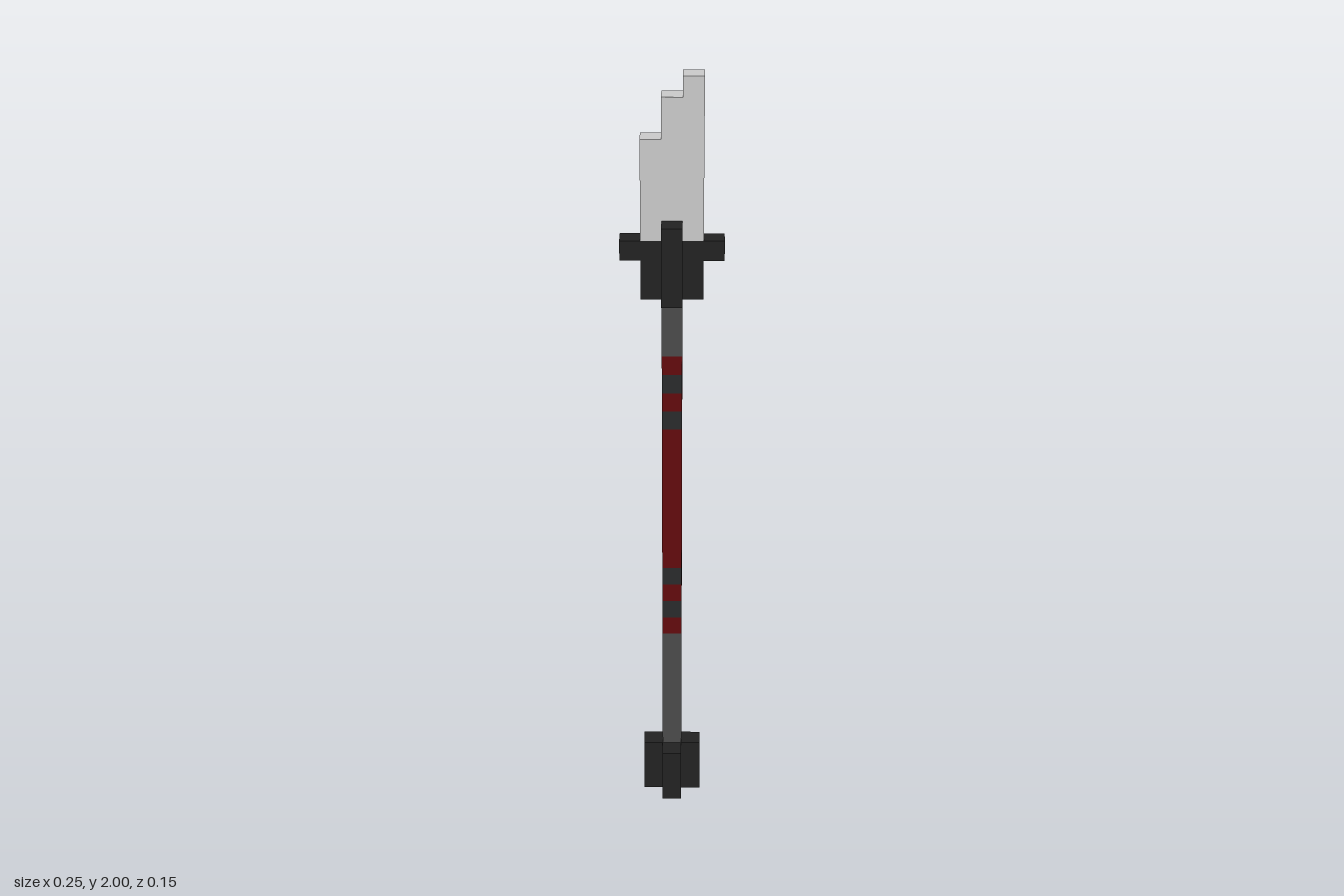
import * as THREE from 'three';

const U = 0.05; // side of one cube unit

const material = (name, color) => {
  const m = new THREE.MeshStandardMaterial({ color });
  m.name = name;
  return m;
};

export function createModel() {
  const black = material('black fittings', 0x222222);
  const grey = material('grey shaft', 0x4a4a4a);
  const red = material('red grip', 0x620b0d);
  const charcoal = material('charcoal bands', 0x292b2c);
  const steel = material('pale steel', 0xcacaca);

  const model = new THREE.Group();
  model.name = 'polearm';

  // Box given by width, depth, bottom and top in units
  const box = (name, mat, w, d, y0, y1, x = 0, z = 0) => {
    const mesh = new THREE.Mesh(new THREE.BoxGeometry(w * U, (y1 - y0) * U, d * U), mat);
    mesh.position.set(x * U, ((y0 + y1) / 2) * U, z * U);
    mesh.name = name;
    model.add(mesh);
  };

  // Extruded outline with points in units
  const extrude = (name, mat, points, depth) => {
    const shape = new THREE.Shape(points.map(([x, y]) => new THREE.Vector2(x * U, y * U)));
    const geo = new THREE.ExtrudeGeometry(shape, { depth: depth * U, bevelEnabled: false });
    const mesh = new THREE.Mesh(geo, mat);
    mesh.name = name;
    model.add(mesh);
    return mesh;
  };

  // Plus-shaped collars at the foot and under the blade
  const plus = [
    [-0.5, -1.5], [0.5, -1.5], [0.5, -0.5], [1.5, -0.5], [1.5, 0.5], [0.5, 0.5],
    [0.5, 1.5], [-0.5, 1.5], [-0.5, 0.5], [-1.5, 0.5], [-1.5, -0.5], [-0.5, -0.5],
  ];
  for (const [name, y] of [['pommel', 0], ['guardCollar', 29]]) {
    const collar = extrude(name, black, plus, 3);
    collar.rotation.x = -Math.PI / 2;
    collar.position.y = y * U;
  }

  // Guard arms at the sides, raised lugs at front and back
  for (const s of [-1, 1]) {
    box(s > 0 ? 'leftGuardArm' : 'rightGuardArm', black, 1, 1, 31, 32, 2 * s);
    box(s > 0 ? 'frontLug' : 'backLug', black, 1, 1, 32, 33, 0, s);
  }

  // Shaft, cut into coloured lengths
  const sections = [
    ['lowerShaft', grey, 3, 10],
    ['gripEnd', red, 10, 11],
    ['band', charcoal, 11, 12],
    ['gripRing', red, 12, 13],
    ['band', charcoal, 13, 14],
    ['grip', red, 14, 22],
    ['band', charcoal, 22, 23],
    ['gripRing', red, 23, 24],
    ['band', charcoal, 24, 25],
    ['gripEnd', red, 25, 26],
    ['upperShaft', grey, 26, 29],
  ];
  for (const [name, mat, y0, y1] of sections) box(name, mat, 1, 1, y0, y1);

  // Stepped blade
  const blade = extrude('blade', steel, [
    [-1.5, 32], [1.5, 32], [1.5, 40], [0.5, 40], [0.5, 39], [-0.5, 39], [-0.5, 37], [-1.5, 37],
  ], 1);
  blade.position.z = -U / 2;

  return model;
}
